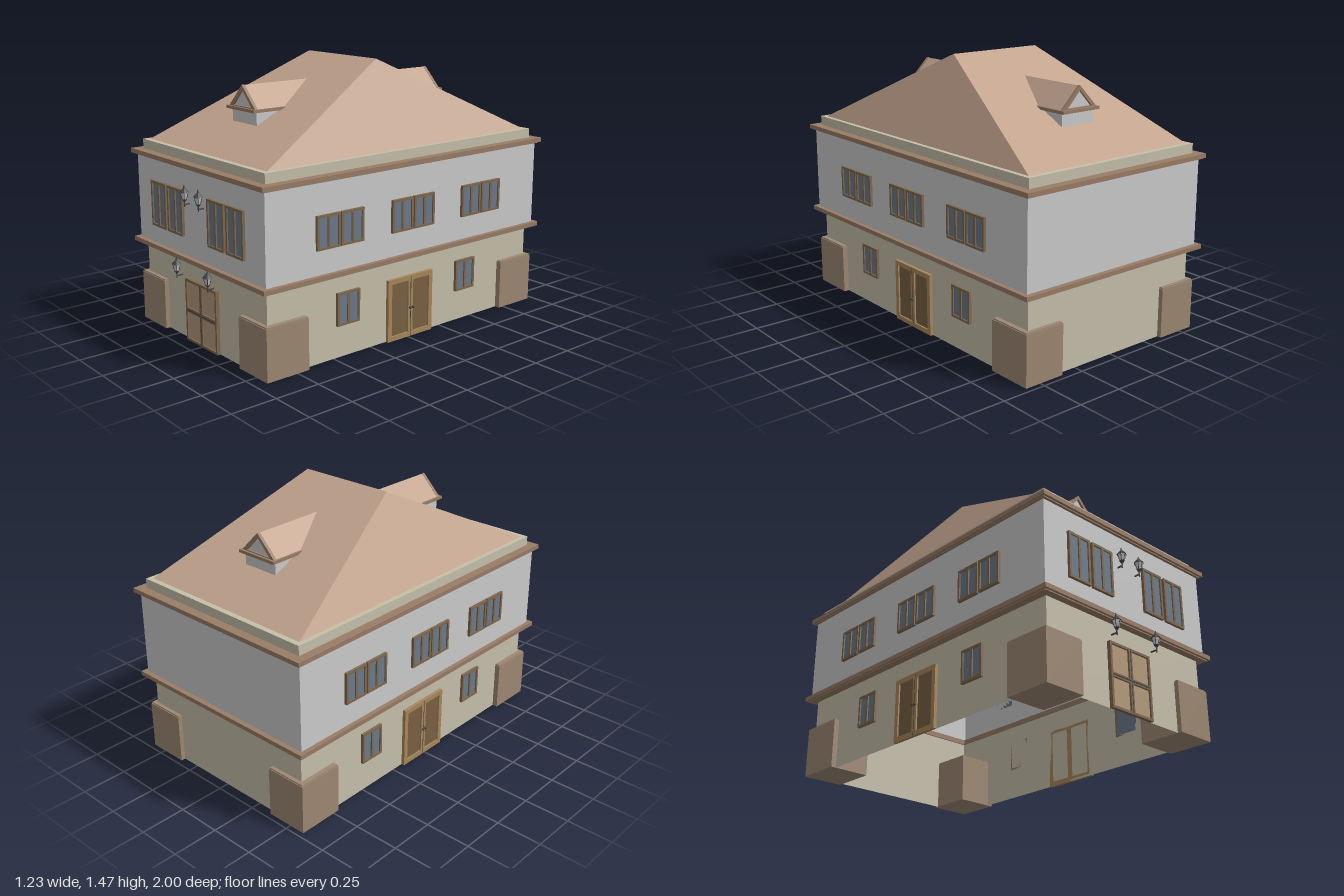
import * as THREE from 'three';

const mat = (color, extra = {}) => new THREE.MeshStandardMaterial({ color, ...extra });
const flat = { flatShading: true, side: THREE.DoubleSide };
const M = {
  plaster: mat(0xcccccc, flat),
  stone: mat(0xc6c0ab, flat),
  roof: mat(0xc4a58f, flat),
  trim: mat(0x9a7c66),
  block: mat(0x9e8873),
  frame: mat(0x80694f),
  glass: mat(0x6b7a8c),
  doorPanel: mat(0xb59a7c),
  sideFrame: mat(0xa8875c),
  sidePanel: mat(0x7a6143),
  iron: mat(0x45474a, { flatShading: true }),
  lampGlass: mat(0xcccccc, { flatShading: true }),
};

function add(parent, name, geometry, material, x = 0, y = 0, z = 0) {
  const mesh = new THREE.Mesh(geometry, material);
  mesh.name = name;
  mesh.position.set(x, y, z);
  parent.add(mesh);
  return mesh;
}

function group(parent, name, x = 0, y = 0, z = 0) {
  const g = new THREE.Group();
  g.name = name;
  g.position.set(x, y, z);
  parent.add(g);
  return g;
}

const rectPoints = (x0, y0, x1, y1) => [[x0, y0], [x1, y0], [x1, y1], [x0, y1]].map(p => new THREE.Vector2(...p));
const extrude = (shape, depth) => new THREE.ExtrudeGeometry(shape, { depth, bevelEnabled: false });

// Four walls without floor or ceiling; hx and hz are half sizes
function shell(hx, hz, y0, y1) {
  return new THREE.CylinderGeometry(Math.SQRT1_2, Math.SQRT1_2, 1, 4, 1, true, Math.PI / 4)
    .scale(hx * 2, y1 - y0, hz * 2).translate(0, (y0 + y1) / 2, 0);
}

// Horizontal rectangular ring
function ring(hx, hz, inX, inZ, y0, y1) {
  const s = new THREE.Shape(rectPoints(-hx, -hz, hx, hz));
  s.holes.push(new THREE.Path(rectPoints(-inX, -inZ, inX, inZ)));
  return extrude(s, y1 - y0).rotateX(-Math.PI / 2).translate(0, y0, 0);
}

// Frame with a grid of openings over a recessed pane, base centred at the origin
function panel(parent, name, x, y, z, w, h, o = {}) {
  const { rows = 1, border = 0.013, bar = 0.014, depth = 0.015, frame = M.frame, pane = M.glass } = o;
  const g = group(parent, name, x, y, z);
  const s = new THREE.Shape(rectPoints(-w / 2, 0, w / 2, h));
  const pw = (w - 2 * border - bar) / 2;
  const ph = (h - 2 * border - (rows - 1) * bar) / rows;
  for (let i = 0; i < 2; i++) for (let j = 0; j < rows; j++) {
    const px = -w / 2 + border + i * (pw + bar), py = border + j * (ph + bar);
    s.holes.push(new THREE.Path(rectPoints(px, py, px + pw, py + ph)));
  }
  add(g, 'frame', extrude(s, depth), frame);
  add(g, 'pane', new THREE.BoxGeometry(w - border, h - border, depth * 0.5), pane, 0, h / 2, depth * 0.25);
  return g;
}

// Six-sided lantern with bracket; the base of the stem is the origin
function lantern(parent, name, x, y, z) {
  const g = group(parent, name, x, y, z);
  const cone = (part, rt, rb, h, cy, m) => add(g, part, new THREE.CylinderGeometry(rt, rb, h, 6), m, 0, cy, 0);
  cone('stem', 0.004, 0.004, 0.03, 0.015, M.iron);
  cone('cup', 0.014, 0.006, 0.012, 0.034, M.iron);
  cone('lanternGlass', 0.022, 0.012, 0.036, 0.057, M.lampGlass);
  cone('cap', 0.008, 0.027, 0.022, 0.086, M.iron);
  cone('finial', 0.002, 0.006, 0.018, 0.106, M.iron);
  for (let i = 0; i < 6; i++) {
    const a = i * Math.PI / 3, v = r => new THREE.Vector3(Math.sin(a) * r, 0, Math.cos(a) * r);
    const path = new THREE.LineCurve3(v(0.012).setY(0.039), v(0.022).setY(0.075));
    add(g, 'lanternBar', new THREE.TubeGeometry(path, 1, 0.002, 4), M.iron);
  }
  add(g, 'bracket', new THREE.BoxGeometry(0.006, 0.006, 0.035), M.iron, 0, 0.012, -0.018);
}

const EAVE = 1.025, RIDGE = 1.465, ROOF_Z = 0.9;
const roofZ = y => ROOF_Z * (RIDGE - y) / (RIDGE - EAVE);

// Extrudes a front outline and trims its back end along the main roof slope
function intoRoof(points, front) {
  const geo = extrude(new THREE.Shape(points), 1);
  const p = geo.attributes.position;
  for (let i = 0; i < p.count; i++) p.setZ(i, p.getZ(i) > 0.5 ? front : Math.min(front, roofZ(p.getY(i)) - 0.004));
  geo.computeVertexNormals();
  return geo;
}

function dormer(parent, name) {
  const g = group(parent, name);
  const tri = (hw, y0, y1) => [[-hw, y0], [hw, y0], [0, y1]].map(p => new THREE.Vector2(...p));
  add(g, 'dormerWall', intoRoof(rectPoints(-0.108, 1.15, 0.108, 1.225), 0.642), M.plaster);
  add(g, 'dormerRoof', intoRoof(tri(0.117, 1.232, 1.35), 0.64), M.roof);
  add(g, 'dormerEave', intoRoof(rectPoints(-0.125, 1.22, 0.125, 1.236), 0.67), M.trim);
  add(g, 'gableWall', extrude(new THREE.Shape(tri(0.1, 1.236, 1.335)), 0.004), M.plaster, 0, 0, 0.639);
  const gable = new THREE.Shape(tri(0.117, 1.234, 1.352));
  gable.holes.push(new THREE.Path(tri(0.083, 1.241, 1.328)));
  add(g, 'gableFrame', extrude(gable, 0.018), M.trim, 0, 0, 0.638);
  return g;
}

export function createModel() {
  const model = new THREE.Group();
  const house = group(model, 'house', 0, 0, -0.0175);

  // Walls, cornices and parapet
  add(house, 'lowerWalls', shell(0.56, 0.9275, 0, 0.46), M.stone);
  add(house, 'upperWalls', shell(0.59, 0.9525, 0.46, 0.96), M.plaster);
  for (const [name, y] of [['lowerCornice', 0.446], ['upperCornice', 0.943]]) {
    add(house, name, ring(0.603, 0.967, 0.555, 0.92, y, y + 0.008), M.trim);
    add(house, name, ring(0.614, 0.98, 0.555, 0.92, y + 0.006, y + 0.03), M.trim);
  }
  add(house, 'parapet', ring(0.565, 0.93, 0.53, 0.89, 0.965, EAVE), M.stone);

  // Hipped roof: the top corners are pulled in to a ridge
  const roof = shell(0.54, ROOF_Z, EAVE, RIDGE);
  const p = roof.attributes.position;
  for (let i = 0; i < p.count; i++) if (p.getY(i) > 1.2) p.setXYZ(i, Math.sign(p.getX(i)) * 0.285, RIDGE, 0);
  roof.computeVertexNormals();
  add(house, 'roof', roof, M.roof);
  const frontDormer = dormer(house, 'frontDormer');
  const backDormer = dormer(house, 'backDormer');
  frontDormer.position.x = backDormer.position.x = -0.01;
  backDormer.rotation.y = Math.PI;

  // Corner blocks with a slightly smaller top lip
  for (const sx of [-1, 1]) for (const sz of [-1, 1]) {
    add(house, 'cornerBlock', new THREE.BoxGeometry(0.235, 0.272, 0.255), M.block, sx * 0.4725, 0.136, sz * 0.825);
    add(house, 'cornerBlockTop', new THREE.BoxGeometry(0.227, 0.007, 0.247), M.block, sx * 0.4725, 0.2755, sz * 0.825);
  }

  // Front: windows, door and lanterns
  for (const x of [-0.36, -0.196, 0.187, 0.354]) panel(house, 'frontWindow', x, 0.576, 0.9525, 0.148, 0.249);
  panel(house, 'frontDoor', -0.002, 0, 0.9275, 0.294, 0.342,
    { rows: 2, bar: 0.024, depth: 0.02, pane: M.doorPanel });
  add(house, 'doorSplit', new THREE.BoxGeometry(0.003, 0.335, 0.003), M.iron, -0.002, 0.17, 0.9475);
  add(house, 'doorBar', new THREE.BoxGeometry(0.27, 0.007, 0.004), M.iron, -0.002, 0.171, 0.948);
  for (const s of [-1, 1]) {
    lantern(house, 'upperLantern', s * 0.066 - 0.002, 0.75, 0.982);
    lantern(house, 'lowerLantern', s * 0.148 - 0.002, 0.352, 0.994);
  }

  // Both long sides: windows and double door, turned to face outwards
  for (const s of [-1, 1]) {
    const side = group(house, s > 0 ? 'leftSide' : 'rightSide');
    side.rotation.y = s * Math.PI / 2;
    for (const z of [0.503, 0.01, -0.5]) for (const d of [-0.077, 0.077])
      panel(side, 'sideWindow', -s * (z + d), 0.605, 0.59, 0.146, 0.175);
    for (const z of [0.427, -0.42]) panel(side, 'lowerWindow', -s * z, 0.172, 0.56, 0.147, 0.176);
    panel(side, 'sideDoor', 0, 0, 0.56, 0.32, 0.342,
      { border: 0.026, bar: 0.034, depth: 0.018, frame: M.sideFrame, pane: M.sidePanel });
    add(side, 'doorSplit', new THREE.BoxGeometry(0.003, 0.335, 0.003), M.iron, 0, 0.17, 0.578);
    for (const d of [-0.01, 0.01])
      add(side, 'doorKnob', new THREE.SphereGeometry(0.008, 10, 8), M.iron, d, 0.165, 0.586);
  }
  return model;
}
